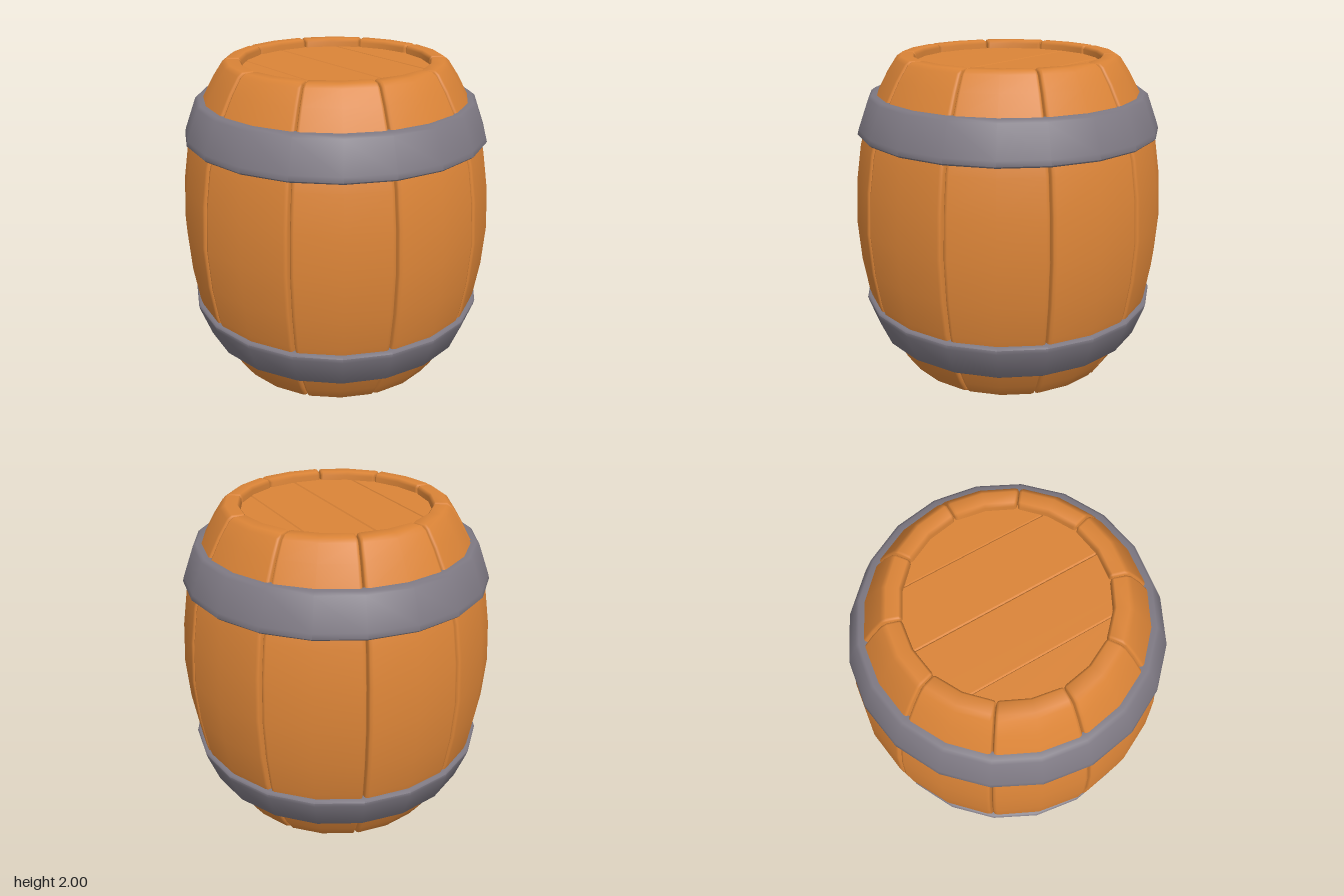
import * as THREE from 'three';
import { toCreasedNormals } from 'three/addons/utils/BufferGeometryUtils.js';

const STAVES = 10;
const STEP = (Math.PI * 2) / STAVES;

// Lower half of a stave as [radius, y]: inner lip, rounded end, then the outer bulge
const HALF = [
  [0.57, 0.12], [0.57, 0.02], [0.585, 0], [0.655, 0], [0.685, 0.02], [0.745, 0.11],
  [0.81, 0.23], [0.875, 0.37], [0.92, 0.52], [0.955, 0.74],
];
const PROFILE = [...HALF, [0.972, 1], ...HALF.map(([r, y]) => [r, 2 - y]).reverse()];

// Columns across one stave as [angle, inset]; the edges roll into the seams
const COLUMNS = [
  [0, 0.04], [0.006, 0.014], [0.014, 0.004], [0.032, 0], [STEP / 2, 0],
  [STEP - 0.032, 0], [STEP - 0.014, 0.004], [STEP - 0.006, 0.014], [STEP, 0.04],
];

function staveGeometry() {
  const pos = [], index = [];
  const w = COLUMNS.length;
  PROFILE.forEach(([r, y], i) => {
    // Profile normal, along which the stave edges sink
    const p = PROFILE[Math.max(i - 1, 0)];
    const n = PROFILE[Math.min(i + 1, PROFILE.length - 1)];
    const normal = new THREE.Vector2(n[1] - p[1], p[0] - n[0]).normalize();
    COLUMNS.forEach(([a, inset], j) => {
      const rr = r - normal.x * inset;
      pos.push(rr * Math.sin(a), y - normal.y * inset, rr * Math.cos(a));
      if (i && j) {
        const d = i * w + j, c = d - 1, b = d - w, e = b - 1;
        index.push(e, b, d, e, d, c);
      }
    });
  });
  const g = new THREE.BufferGeometry();
  g.setAttribute('position', new THREE.Float32BufferAttribute(pos, 3));
  g.setIndex(index);
  g.computeVertexNormals();
  return g;
}

// Slice of a disc between two z values, with softened edges, lying flat
function plankGeometry(z0, z1, radius, thickness) {
  const shape = new THREE.Shape();
  const a0 = Math.asin(z0 / radius), a1 = Math.asin(z1 / radius);
  shape.absarc(0, 0, radius, a0, a1, false);
  shape.absarc(0, 0, radius, Math.PI - a1, Math.PI - a0, false);
  shape.closePath();
  const b = 0.008;
  const g = new THREE.ExtrudeGeometry(shape, {
    depth: thickness - 2 * b, bevelThickness: b, bevelSize: b, bevelOffset: -b,
    bevelSegments: 1, curveSegments: 12,
  });
  g.translate(0, 0, b - thickness / 2);
  g.rotateX(Math.PI / 2);
  return g;
}

export function createModel() {
  const wood = new THREE.MeshStandardMaterial({ color: 0xdb8437 });
  wood.name = 'wood';
  const iron = new THREE.MeshStandardMaterial({ color: 0x7d7882 });
  iron.name = 'iron';

  const barrel = new THREE.Group();
  barrel.name = 'barrel';
  const add = (geometry, material, name) => {
    const mesh = new THREE.Mesh(geometry, material);
    mesh.name = name;
    barrel.add(mesh);
    return mesh;
  };

  // Staves
  const stave = staveGeometry();
  for (let i = 0; i < STAVES; i++) add(stave, wood, 'stave').rotation.y = i * STEP;

  // Lids of four planks, set just inside each rim
  const cuts = [-0.619, -0.36, 0, 0.36, 0.619];
  for (let i = 0; i < 4; i++) {
    const plank = plankGeometry(cuts[i], cuts[i + 1], 0.62, 0.1);
    add(plank, wood, 'topLidPlank').position.y = 1.9;
    add(plank, wood, 'bottomLidPlank').position.y = 0.1;
  }

  // Hoops, flaring towards the middle of the barrel
  const section = [
    [0.79, 0.235], [0.84, 0.235], [0.86, 0.25], [0.928, 0.435],
    [0.936, 0.465], [0.925, 0.476], [0.88, 0.476],
  ].map(([r, y]) => new THREE.Vector2(r, y));
  const hoop = toCreasedNormals(new THREE.LatheGeometry(section, 20), 1.05);
  add(hoop, iron, 'bottomHoop');
  const topHoop = add(hoop, iron, 'topHoop');
  topHoop.rotation.x = Math.PI;
  topHoop.position.y = 2.01;

  return barrel;
}
